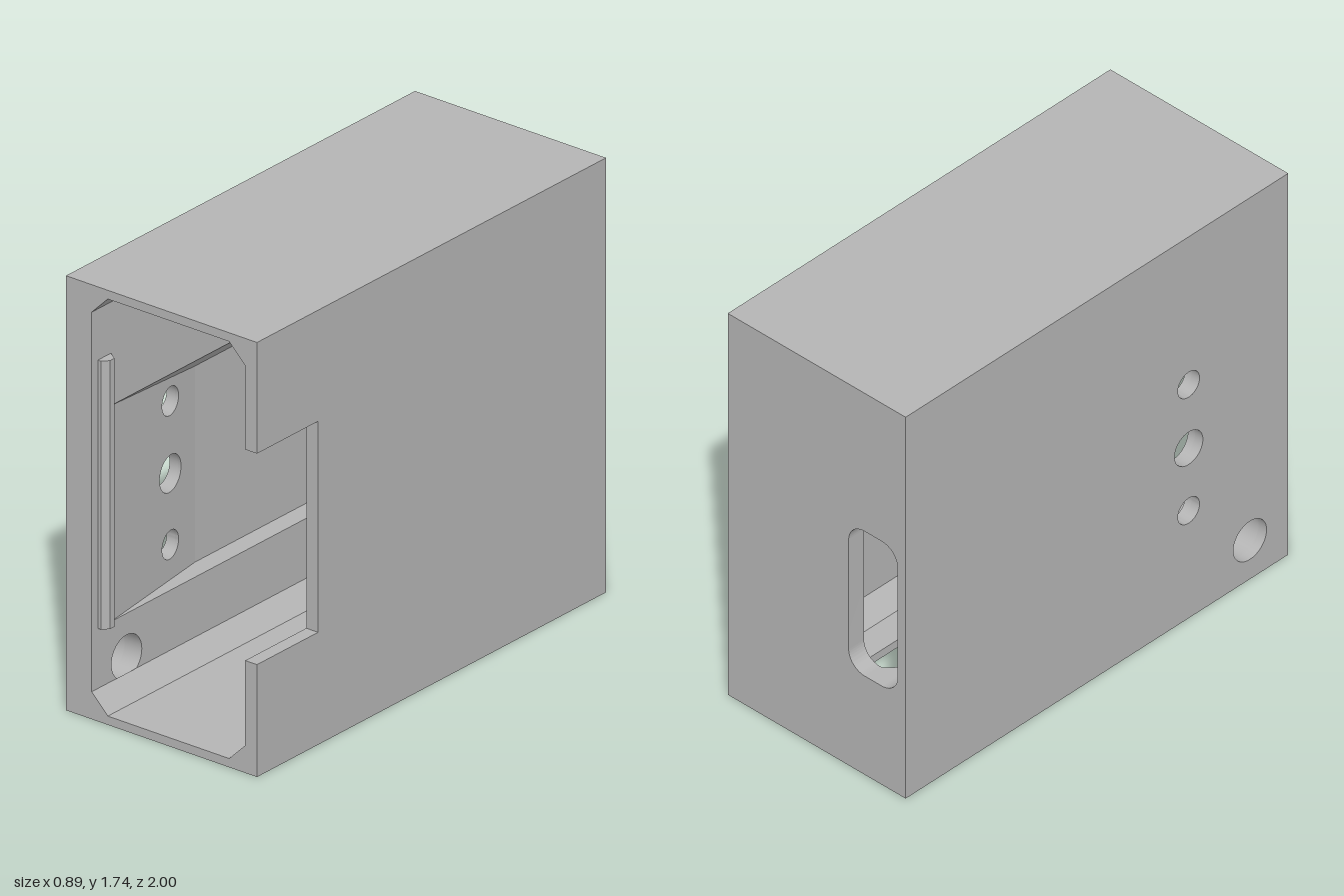
import * as THREE from 'three';
import { toCreasedNormals } from 'three/addons/utils/BufferGeometryUtils.js';

const W = 0.445, H = 1.74, T = 0.035;          // half width, height, plate thickness
const IN_L = -0.325, IN_R = 0.39, DEEP = -0.405; // cavity sides and recess depth
const BACK = -0.92, BEV = 0.075;               // inner back face, cavity bevel

const poly = (pts) => new THREE.Shape(pts.map(([a, b]) => new THREE.Vector2(a, b)));
const rect = (a0, b0, a1, b1) => poly([[a0, b0], [a1, b0], [a1, b1], [a0, b1]]);

function circle(a, b, r) {
  const p = new THREE.Path();
  p.absarc(a, b, r, 0, Math.PI * 2, false);
  return p;
}

export function createModel() {
  const group = new THREE.Group();
  const grey = new THREE.MeshStandardMaterial({ color: 0xb4b4b4 });
  grey.name = 'plain grey';

  function add(name, geometry) {
    const mesh = new THREE.Mesh(toCreasedNormals(geometry, 0.5), grey);
    mesh.name = name;
    group.add(mesh);
  }
  const extrude = (shape, depth) =>
    new THREE.ExtrudeGeometry(shape, { depth, bevelEnabled: false, curveSegments: 20 });
  // Shapes are drawn in (x, y), (-z, y) and (x, -z) respectively
  const alongZ = (shape, z0, z1) => extrude(shape, z1 - z0).translate(0, 0, z0);
  const alongX = (shape, x0, x1) => extrude(shape, x1 - x0).rotateY(Math.PI / 2).translate(x0, 0, 0);
  const alongY = (shape, y0, y1) => extrude(shape, y1 - y0).rotateX(-Math.PI / 2).translate(0, y0, 0);

  // Top and bottom plates; the bottom has a long window
  add('topPlate', alongY(rect(-W, -1, W, 1), H - T, H));
  const floor = rect(-W, -1, W, 1);
  floor.holes.push(rect(-0.02, -0.39, 0.195, 0.64));
  add('bottomPlate', alongY(floor, 0, T));

  // Back wall with a rounded slot
  const back = rect(-W, T, W, H - T);
  const slot = new THREE.Path();
  const [sx0, sx1, sy0, sy1, r] = [DEEP, -0.16, 0.45, 1.11, 0.08];
  slot.absarc(sx1 - r, sy0 + r, r, -Math.PI / 2, 0, false);
  slot.absarc(sx1 - r, sy1 - r, r, 0, Math.PI / 2, false);
  slot.absarc(sx0 + r, sy1 - r, r, Math.PI / 2, Math.PI, false);
  slot.absarc(sx0 + r, sy0 + r, r, Math.PI, Math.PI * 1.5, false);
  slot.closePath();
  back.holes.push(slot);
  add('backWall', alongZ(back, -1, BACK));

  // Left-hand wall (+x) with the notch at its front edge
  add('notchedWall', alongX(poly([
    [-1, T], [-1, 0.45], [-0.65, 0.45], [-0.65, 1.295], [-1, 1.295],
    [-1, H - T], [-BACK, H - T], [-BACK, T],
  ]), IN_R, W));

  // Drilled wall (-x): outer skin
  const screwHoles = [[0.48, 1.065, 0.057], [0.48, 0.775, 0.074], [0.48, 0.49, 0.057]];
  const cornerHole = [0.8, 0.177, 0.087];
  const skin = rect(-1, T, -BACK, H - T);
  for (const [z, y, rad] of [...screwHoles, cornerHole]) skin.holes.push(circle(-z, y, rad));
  add('drilledWallSkin', alongX(skin, -W, DEEP));

  // Inner layer around the recess, whose upper edge slopes at 45 degrees
  const frame = poly([
    [-1, T], [0.39, T], [0.39, 0.35], [-0.89, 0.35],
    [-0.89, 1.215], [0.39, 1.215], [0.39, H - T], [-1, H - T],
  ]);
  frame.holes.push(circle(-cornerHole[0], cornerHole[1], cornerHole[2]));
  const frameGeo = alongX(frame, DEEP, IN_L);
  const fp = frameGeo.attributes.position;
  for (let i = 0; i < fp.count; i++) {
    if (Math.abs(fp.getY(i) - 1.215) < 1e-4 && fp.getX(i) < DEEP + 1e-4) fp.setY(i, 1.135);
  }
  add('recessFrame', frameGeo);

  // Ramp rising from the recess floor to the front lip, pierced by the screw holes
  const ramp = rect(-0.89, 0.35, -0.31, 1.215);
  for (const [z, y, rad] of screwHoles) ramp.holes.push(circle(-z, y, rad));
  const rampGeo = alongX(ramp, DEEP, IN_L);
  const rp = rampGeo.attributes.position;
  for (let i = 0; i < rp.count; i++) {
    if (rp.getX(i) > DEEP + 1e-4) rp.setX(i, DEEP + (IN_L - DEEP) * (rp.getZ(i) - 0.31) / 0.58);
  }
  add('recessRamp', rampGeo);

  // Rear part of the inner layer with a rounded channel leading to the slot
  const channel = new THREE.Shape();
  channel.moveTo(-0.44, T);
  channel.lineTo(IN_L, T);
  channel.lineTo(IN_L, sy0);
  channel.absarc(IN_L, sy0 + r, r, -Math.PI / 2, -Math.PI, true);
  channel.absarc(IN_L, sy1 - r, r, Math.PI, Math.PI / 2, true);
  channel.lineTo(IN_L, H - T);
  channel.lineTo(-0.44, H - T);
  add('slotChannel', alongZ(channel, BACK, -0.39));

  // Bevels along the four long edges of the cavity
  for (const [x, sx] of [[IN_L, 1], [IN_R, -1]]) {
    for (const [y, sy] of [[T, 1], [H - T, -1]]) {
      add('cavityEdgeBevel', alongZ(poly([[x, y], [x + sx * BEV, y], [x, y + sy * BEV]]), BACK, 1));
    }
  }

  // Upright bevels at the back of the cavity, interrupted by the slot
  const backBevel = (x, s, y0, y1) => add('backBevel',
    alongY(poly([[x, -BACK], [x + s * BEV, -BACK], [x, -BACK - BEV]]), y0, y1));
  backBevel(IN_L, 1, T, sy0);
  backBevel(IN_L, 1, sy1, H - T);
  backBevel(IN_R, -1, T, H - T);

  // Retaining ribs on the two side walls
  add('frontRib', alongY(poly([
    [IN_L, -0.965], [-0.31, -0.965], [-0.288, -0.94], [-0.288, -0.915], [IN_L, -0.89],
  ]), 0.35, 1.425));
  add('notchRib', alongY(poly([
    [IN_R, -0.58], [0.38, -0.58], [0.355, -0.555], [0.355, -0.53], [IN_R, -0.505],
  ]), 0.56, 1.185));

  return group;
}
